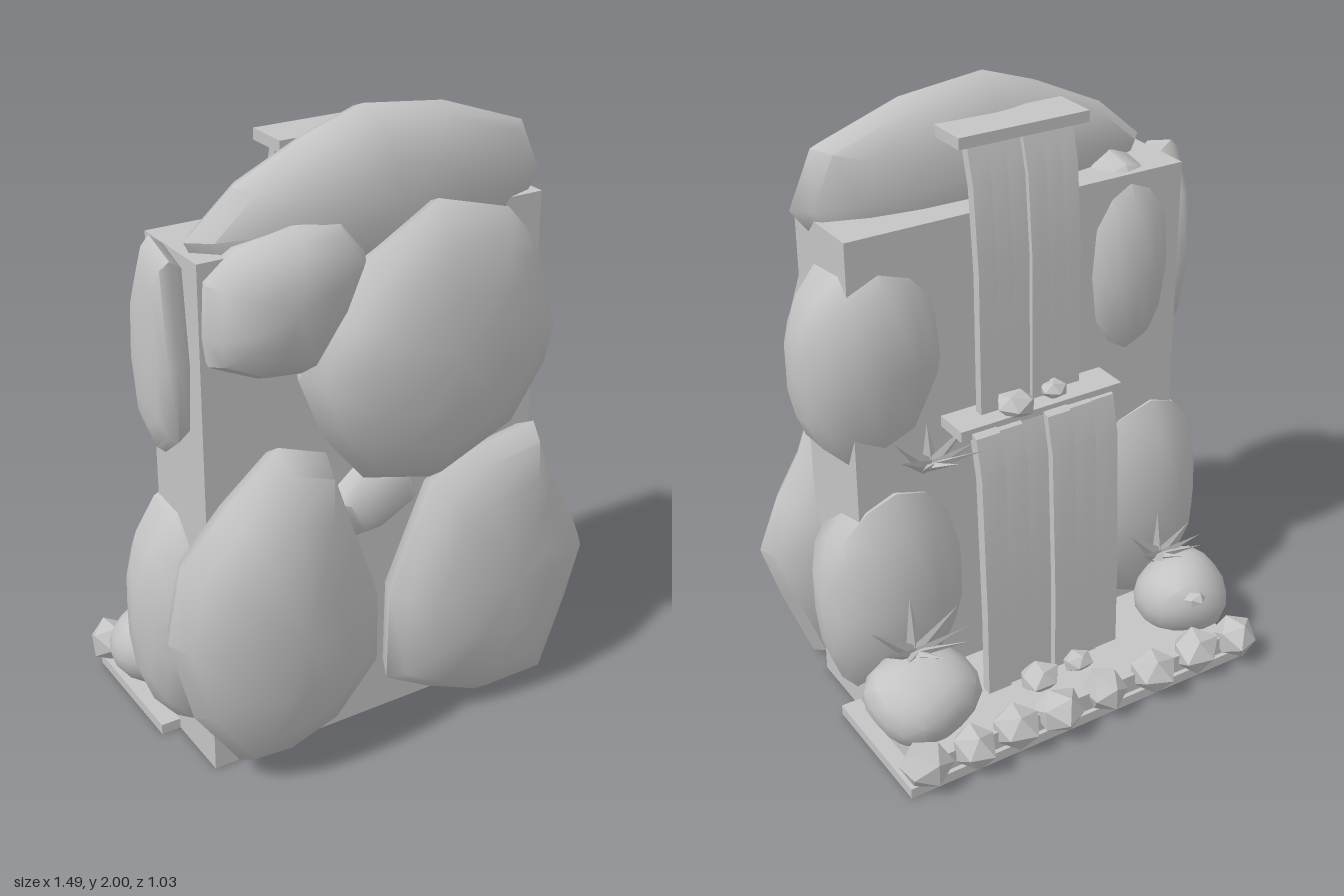
import * as THREE from 'three';
import { toCreasedNormals } from 'three/addons/utils/BufferGeometryUtils.js';

const stone = new THREE.MeshStandardMaterial({ color: 0xc4c4c4 });
stone.name = 'grey stone';

// small seeded random
let seed = 7;
const rand = () => (seed = (seed * 16807) % 2147483647) / 2147483647;

function add(parent, name, geometry, x = 0, y = 0, z = 0) {
  const mesh = new THREE.Mesh(geometry, stone);
  mesh.name = name;
  mesh.position.set(x, y, z);
  parent.add(mesh);
  return mesh;
}

function box(parent, name, x0, x1, y0, y1, z0, z1) {
  return add(parent, name, new THREE.BoxGeometry(x1 - x0, y1 - y0, z1 - z0),
    (x0 + x1) / 2, (y0 + y1) / 2, (z0 + z1) / 2);
}

// boulder: a flat outline shrunk towards its middle in layers, before and behind it
const layers = [[-1, 0], [-0.92, 0.45], [-0.75, 0.7], [-0.42, 0.92], [0, 1],
  [0.42, 0.9], [0.75, 0.68], [0.92, 0.42], [1, 0]];
function boulderGeometry(outline, front, back) {
  const pts = outline.map(([x, y]) => new THREE.Vector2(x, y));
  if (THREE.ShapeUtils.area(pts) < 0) pts.reverse();
  const n = pts.length;
  const mid = pts.reduce((s, p) => s.add(p), new THREE.Vector2()).divideScalar(n);
  const at = (k, i) => {
    const [t, s] = layers[k], p = pts[i % n];
    return [mid.x + (p.x - mid.x) * s, mid.y + (p.y - mid.y) * s, t * (t > 0 ? front : back)];
  };
  const pos = [];
  for (let k = 0; k < layers.length - 1; k++) {
    for (let i = 0; i < n; i++) {
      const a = at(k, i), b = at(k, i + 1), c = at(k + 1, i + 1), d = at(k + 1, i);
      if (k > 0) pos.push(...a, ...b, ...c);
      if (k < layers.length - 2) pos.push(...a, ...c, ...d);
    }
  }
  const g = new THREE.BufferGeometry();
  g.setAttribute('position', new THREE.Float32BufferAttribute(pos, 3));
  return toCreasedNormals(g, 0.9);
}

// rounded rock or faceted pebble, slightly uneven
function rock(parent, name, x, y, z, rx, ry, rz, detail = 0) {
  const g = new THREE.IcosahedronGeometry(1, detail);
  const a = rand() * 6;
  const p = g.attributes.position;
  const v = new THREE.Vector3();
  for (let i = 0; i < p.count; i++) {
    v.fromBufferAttribute(p, i);
    v.multiplyScalar(1 + 0.08 * Math.sin(3 * v.x + a) * Math.cos(2 * v.y + 2 * v.z + a));
    v.applyAxisAngle(new THREE.Vector3(0, 1, 0), a);
    p.setXYZ(i, v.x * rx, v.y * ry, v.z * rz);
  }
  g.computeVertexNormals();
  return add(parent, name, detail ? toCreasedNormals(g, 0.6) : g, x, y, z);
}

// one fall: side-by-side strips following a (z, y) path at slightly different depths
function waterfall(parent, name, width, path, thickness, offsets) {
  const group = new THREE.Group();
  group.name = name;
  const w = width / offsets.length;
  offsets.forEach((off, i) => {
    const shape = new THREE.Shape();
    path.forEach(([z, y], k) => (k ? shape.lineTo(-z + off, y) : shape.moveTo(-z + off, y)));
    [...path].reverse().forEach(([z, y]) => shape.lineTo(-z + off - thickness, y - 0.01));
    const g = new THREE.ExtrudeGeometry(shape, { depth: w, bevelEnabled: false });
    const strip = add(group, 'waterStrip', toCreasedNormals(g, 0.5), -width / 2 + i * w, 0, 0);
    strip.rotation.y = Math.PI / 2;
  });
  parent.add(group);
}

// tuft of pointed leaves leaning backwards
function plant(parent, x, y, z, size) {
  const group = new THREE.Group();
  group.name = 'plant';
  const up = new THREE.Vector3(0, 1, 0);
  for (let i = 0; i < 8; i++) {
    const a = (i / 8) * Math.PI * 2;
    const length = size * (0.75 + 0.35 * rand());
    const g = new THREE.ConeGeometry(0.03, length, 4).toNonIndexed();
    g.translate(0, length / 2, 0);
    g.scale(1, 1, 0.45);
    g.computeVertexNormals();
    const leaf = add(group, 'leaf', g);
    const dir = new THREE.Vector3(Math.cos(a) * 0.85, 0.6, Math.sin(a) * 0.55 - 0.5).normalize();
    leaf.quaternion.setFromUnitVectors(up, dir);
  }
  group.position.set(x, y, z);
  parent.add(group);
}

export function createModel() {
  const model = new THREE.Group();
  model.name = 'rockWaterfall';

  // core wall, floor slab, pool and ledges
  box(model, 'coreBlock', -0.58, 0.58, 0, 1.67, -0.05, 0.26);
  box(model, 'floorSlab', -0.645, 0.645, 0, 0.035, -0.44, 0.02);
  box(model, 'pool', -0.59, 0.59, 0.03, 0.1, -0.425, -0.04);
  box(model, 'upperLedge', -0.22, 0.22, 1.87, 1.905, -0.065, 0.085);
  box(model, 'lowerLedge', -0.29, 0.29, 1.005, 1.04, -0.17, -0.04);

  // front and cap boulders: name, depth of the rim, front and back bulge, (x, y) outline
  const frontBoulders = [
    ['lowerLeftFrontBoulder', 0.33, 0.18, 0.16, [[-0.38, 1.1], [-0.22, 1.04], [-0.14, 0.8],
      [-0.05, 0.55], [-0.05, 0.29], [-0.21, 0.11], [-0.39, 0.05], [-0.53, 0.06], [-0.68, 0.28],
      [-0.75, 0.56], [-0.7, 0.8], [-0.55, 0.96]]],
    ['lowerRightFrontBoulder', 0.36, 0.13, 0.17, [[0.14, 0.85], [0.27, 0.92], [0.52, 0.96],
      [0.58, 0.8], [0.67, 0.65], [0.74, 0.48], [0.68, 0.28], [0.58, 0.01], [0.34, 0.01],
      [0.14, 0.1], [-0.015, 0.19], [-0.01, 0.5]]],
    ['middleFrontBoulder', 0.345, 0.14, 0.18, [[0.14, 1.75], [0.39, 1.68], [0.49, 1.57],
      [0.58, 1.3], [0.55, 1.17], [0.42, 0.98], [0.14, 0.865], [-0.1, 0.93], [-0.24, 1.1],
      [-0.32, 1.3], [-0.21, 1.46], [-0.08, 1.62]]],
    ['upperFrontBoulder', 0.29, 0.125, 0.18, [[-0.58, 1.46], [-0.57, 1.62], [-0.47, 1.7],
      [-0.3, 1.735], [-0.15, 1.72], [-0.07, 1.62], [-0.12, 1.47], [-0.25, 1.29], [-0.42, 1.31],
      [-0.57, 1.38]]],
    ['fillerBoulder', 0.26, 0.09, 0.09, [[-0.18, 0.84], [-0.07, 0.93], [0.12, 0.9],
      [0.14, 0.78], [-0.02, 0.7], [-0.11, 0.695]]],
    ['capBoulder', 0.17, 0.14, 0.135, [[-0.57, 1.7], [-0.42, 1.83], [-0.18, 1.94], [0, 2],
      [0.27, 1.97], [0.56, 1.87], [0.636, 1.7], [0.56, 1.6], [0.32, 1.5], [-0.1, 1.45],
      [-0.5, 1.55]]],
  ];
  for (const [name, z, front, back, outline] of frontBoulders) {
    add(model, name, boulderGeometry(outline, front, back), 0, 0, z);
  }

  // corner boulders outlined from the side as (-z, y): rim x, bulge towards +x, towards -x
  const cornerBoulders = [
    ['upperLeftSideBoulder', 0.48, 0.23, 0.24, [[-0.16, 1.57], [0.01, 1.59], [0.09, 1.51],
      [0.12, 1.24], [0.06, 1.01], [0.01, 0.9], [-0.16, 0.89], [-0.27, 1.04], [-0.27, 1.4]]],
    ['lowerLeftSideBoulder', 0.46, 0.23, 0.25, [[-0.24, 0.66], [-0.08, 0.79], [0.07, 0.83],
      [0.13, 0.71], [0.15, 0.44], [0.14, 0.28], [0.05, 0.09], [-0.03, 0.01], [-0.16, 0.08],
      [-0.24, 0.32]]],
    ['upperRightBackBoulder', -0.39, 0.16, 0.17, [[-0.2, 1.62], [-0.08, 1.71], [0.02, 1.69],
      [0.09, 1.57], [0.115, 1.33], [0.08, 1.12], [0, 1.02], [-0.2, 1.05]]],
    ['upperRightSideBoulder', -0.62, 0.1, 0.065, [[-0.18, 1.66], [-0.06, 1.7], [0.01, 1.55],
      [0.03, 1.32], [-0.01, 1.1], [-0.1, 1.05], [-0.19, 1.12], [-0.21, 1.35]]],
    ['lowerRightSideBoulder', -0.5, 0.3, 0.225, [[-0.23, 0.68], [-0.08, 0.85], [0.06, 0.86],
      [0.12, 0.75], [0.14, 0.46], [0.13, 0.28], [0.05, 0.09], [-0.03, 0.03], [-0.16, 0.1],
      [-0.24, 0.35]]],
  ];
  for (const [name, x, front, back, outline] of cornerBoulders) {
    add(model, name, boulderGeometry(outline, front, back), x, 0, 0).rotation.y = Math.PI / 2;
  }

  // two falls, one from each ledge
  waterfall(model, 'upperWaterfall', 0.37,
    [[0.02, 1.885], [-0.03, 1.865], [-0.06, 1.76], [-0.085, 1.5], [-0.09, 1.03]],
    0.03, [0, 0.012, 0.02, 0.004, 0.012, 0.022]);
  waterfall(model, 'lowerWaterfall', 0.505,
    [[-0.13, 1.03], [-0.17, 1.015], [-0.2, 0.89], [-0.225, 0.4], [-0.23, 0.1]],
    0.035, [0.01, 0.014, 0.024, 0, 0.014, 0.024]);

  // round floor rocks
  rock(model, 'floorRock', -0.535, 0.18, -0.225, 0.16, 0.145, 0.155, 2);
  rock(model, 'floorRock', 0.48, 0.18, -0.225, 0.19, 0.145, 0.155, 2);

  // row of pebbles along the rear edge
  [-0.61, -0.45, -0.27, -0.08, 0.1, 0.255, 0.415, 0.58].forEach((x, i) =>
    rock(model, 'edgePebble', x, 0.09, -0.43 + 0.01 * (i % 2), i % 3 ? 0.088 : 0.075, 0.075, 0.08));

  // pebbles on the ledge and at the foot of the falls
  for (const [x, y, z, r] of [[-0.07, 1.06, -0.12, 0.05], [0.08, 1.06, -0.14, 0.07],
    [-0.07, 0.115, -0.28, 0.055], [0.085, 0.12, -0.29, 0.075], [-0.485, 0.25, -0.36, 0.04]]) {
    rock(model, 'pebble', x, y, z, r, r * 0.65, r * 0.85);
  }

  // leafy tufts
  plant(model, 0.36, 0.91, -0.1, 0.19);
  plant(model, 0.48, 0.31, -0.18, 0.21);
  plant(model, -0.48, 0.31, -0.16, 0.19);

  return model;
}
